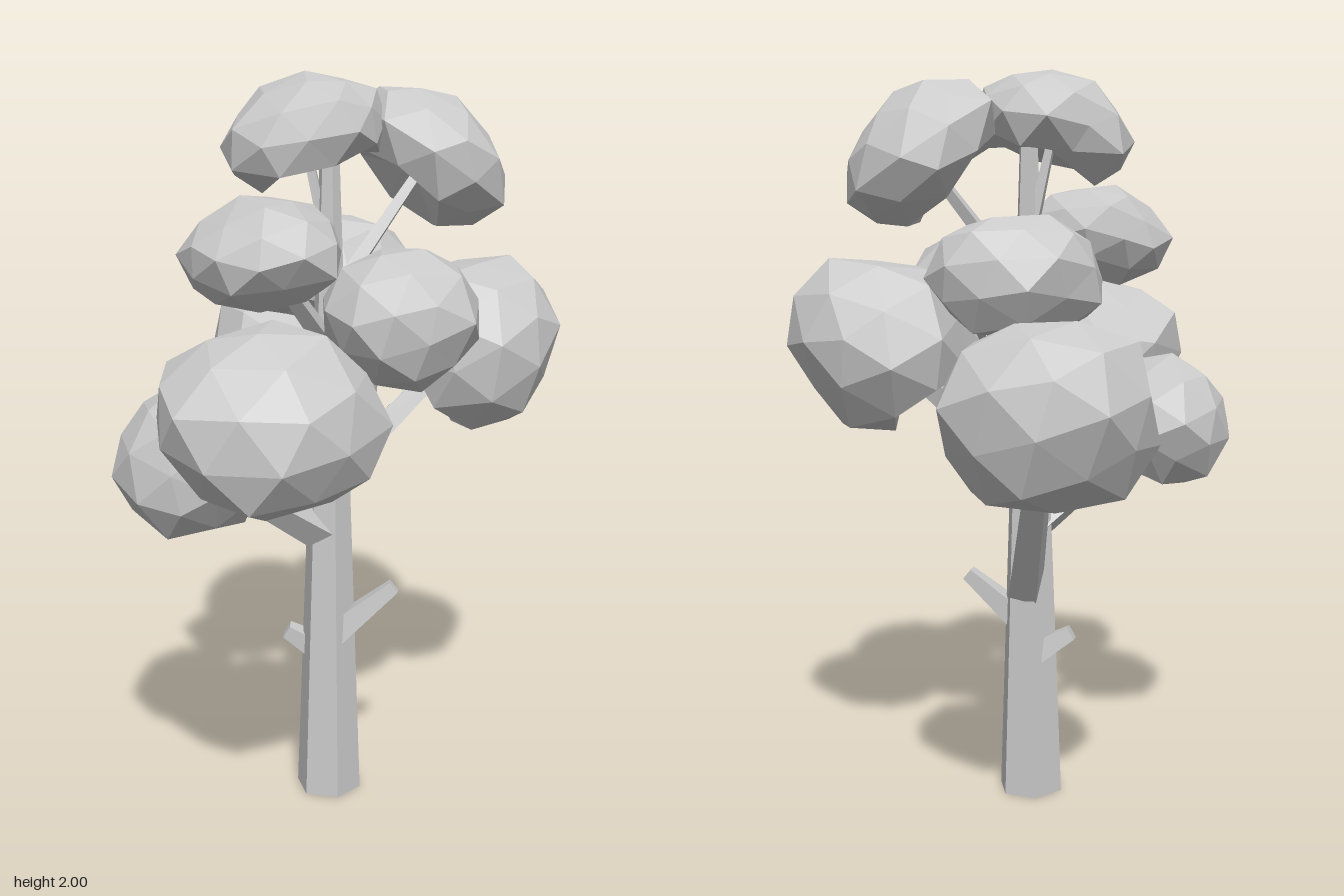
import * as THREE from 'three';

export function createModel() {
  const tree = new THREE.Group();
  tree.name = 'tree';
  const grey = new THREE.MeshStandardMaterial({ color: 0xcacaca, flatShading: true });
  grey.name = 'plain grey';
  const V = (a) => new THREE.Vector3(...a);

  const add = (geometry, name) => {
    const mesh = new THREE.Mesh(geometry, grey);
    mesh.name = name;
    tree.add(mesh);
    return mesh;
  };

  // Tapered limb between two points
  const limb = (name, from, to, r0, r1, sides, twist = 0) => {
    const a = V(from), b = V(to), dir = b.clone().sub(a);
    const g = new THREE.CylinderGeometry(r1, r0, dir.length(), sides);
    g.rotateY(twist);
    const mesh = add(g, name);
    mesh.position.copy(a).add(b).multiplyScalar(0.5);
    mesh.quaternion.setFromUnitVectors(new THREE.Vector3(0, 1, 0), dir.normalize());
  };

  // Faceted leaf clump, hollowed where its branch enters, slanted and fitted to a box.
  // slant = [y per x, y per z, z per x]
  const clump = (name, min, max, root, seed, slant) => {
    const lo = V(min), size = V(max).sub(lo);
    const centre = lo.clone().addScaledVector(size, 0.5);
    const inward = V(root).sub(centre).divide(size).normalize();
    const g = new THREE.IcosahedronGeometry(1, 1);
    g.rotateY(seed * 0.9).rotateX(seed * 0.35);
    const p = g.attributes.position, v = new THREE.Vector3();
    for (let i = 0; i < p.count; i++) {
      v.fromBufferAttribute(p, i);
      let k = 1 + 0.05 * Math.sin(5 * v.x + 3 * v.y + seed * 2.1) + 0.04 * Math.sin(6 * v.z - 4 * v.x + seed);
      if (v.dot(inward) > 0.82) k *= 0.4;
      v.multiplyScalar(k);
      p.setXYZ(i, v.x, v.y + slant[0] * v.x + slant[1] * v.z, v.z + slant[2] * v.x);
    }
    g.computeBoundingBox();
    const box = g.boundingBox, span = box.getSize(new THREE.Vector3());
    for (let i = 0; i < p.count; i++) {
      v.fromBufferAttribute(p, i).sub(box.min).divide(span).multiply(size).add(lo);
      p.setXYZ(i, v.x, v.y, v.z);
    }
    g.computeVertexNormals();
    add(g, name);
    return centre;
  };

  // Six-sided trunk
  limb('trunk', [-0.03, 0, 0.032], [-0.02, 1.8, 0.015], 0.0925, 0.026, 6);

  // Each clump with its branch: name, box min, box max, branch root, branch radius, slant
  const crowns = [
    ['back', [-0.26, 0.92, -0.72], [0.28, 1.37, -0.19], [-0.01, 0.59, 0.0], 0.056, [0, -0.15, 0]],
    ['front', [-0.56, 0.99, 0.22], [-0.03, 1.44, 0.72], [-0.03, 0.98, 0.04], 0.045, [0, -0.1, 0]],
    ['lowerRight', [-0.63, 0.86, -0.1], [-0.24, 1.24, 0.39], [-0.04, 0.77, 0.03], 0.055, [0, 0, 0]],
    ['left', [0.11, 1.05, -0.25], [0.63, 1.51, 0.27], [-0.01, 0.93, 0.02], 0.05, [0.1, 0, 0]],
    ['middleFront', [-0.12, 1.23, 0.05], [0.32, 1.58, 0.48], [-0.02, 1.1, 0.03], 0.035, [0, 0, -0.2]],
    ['upperRight', [-0.44, 1.43, -0.05], [-0.04, 1.71, 0.41], [-0.03, 1.3, 0.02], 0.033, [0.1, 0, 0]],
    ['upperBack', [-0.18, 1.31, -0.39], [0.28, 1.62, 0.0], [-0.02, 1.15, 0.01], 0.033, [0, 0, 0]],
    ['upperLeft', [0.08, 1.59, -0.3], [0.465, 1.96, 0.2], [-0.01, 1.42, 0.01], 0.027, [-0.4, 0, 0]],
    ['top', [-0.29, 1.7, -0.26], [0.12, 2.0, 0.24], [-0.02, 1.55, 0.01], 0.022, [0.25, 0, 0]],
  ];
  crowns.forEach(([name, min, max, root, thick, slant], i) => {
    const centre = clump(name + 'Leaves', min, max, root, i + 1, slant);
    limb(name + 'Branch', root, centre.toArray(), thick, thick * 0.6, 4, 0.4);
  });

  // Bare stubs low on the trunk
  limb('leftStub', [-0.02, 0.48, 0.05], [0.14, 0.62, 0.1], 0.048, 0.025, 4, 0.4);
  limb('rightStub', [-0.04, 0.41, 0.0], [-0.135, 0.47, -0.03], 0.045, 0.027, 4, 0.4);

  return tree;
}
